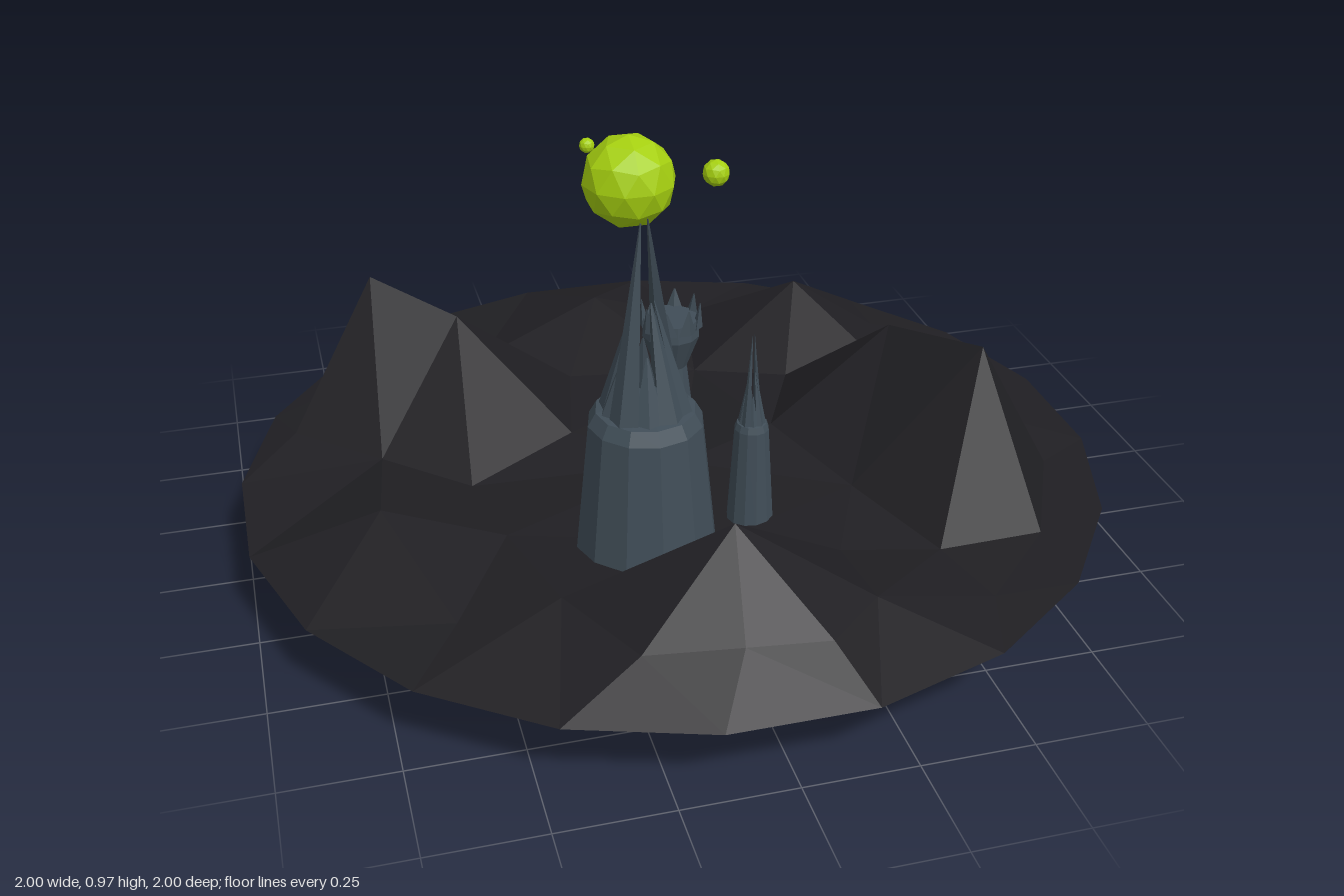
import * as THREE from 'three';
import { mergeGeometries } from 'three/addons/utils/BufferGeometryUtils.js';

const mat = (color) => new THREE.MeshStandardMaterial({ color, flatShading: true, side: THREE.DoubleSide });
const stone = mat(0x404d57), earth = mat(0x201f23), lime = mat(0xa5cf10);

function part(name, geometry, material) {
  const mesh = new THREE.Mesh(geometry, material);
  mesh.name = name;
  return mesh;
}

// Delaunay triangulation in plan (x, z) of a list of [x, y, z] points
function triangulate(points) {
  const n = points.length;
  const p = [...points, [-60, 0, -50], [60, 0, -50], [0, 0, 70]];
  const circle = (a, b, c) => {
    const [ax, , az] = p[a], bx = p[b][0] - ax, bz = p[b][2] - az, cx = p[c][0] - ax, cz = p[c][2] - az;
    const d = 2 * (bx * cz - bz * cx), b2 = bx * bx + bz * bz, c2 = cx * cx + cz * cz;
    const ux = (cz * b2 - bz * c2) / d, uz = (bx * c2 - cx * b2) / d;
    // corners ordered so that the face looks up
    return { v: d < 0 ? [a, b, c] : [a, c, b], x: ax + ux, z: az + uz, r2: ux * ux + uz * uz };
  };
  let tris = [circle(n, n + 1, n + 2)];
  for (let i = 0; i < n; i++) {
    const edges = new Map();
    tris = tris.filter((t) => {
      if ((p[i][0] - t.x) ** 2 + (p[i][2] - t.z) ** 2 > t.r2) return true;
      for (let k = 0; k < 3; k++) {
        const a = t.v[k], b = t.v[(k + 1) % 3];
        const key = Math.min(a, b) + '_' + Math.max(a, b);
        if (edges.has(key)) edges.delete(key);
        else edges.set(key, [a, b]);
      }
      return false;
    });
    for (const [a, b] of edges.values()) tris.push(circle(a, b, i));
  }
  return tris.map((t) => t.v).filter((v) => v.every((k) => k < n));
}

// Round island: a 20-sided rim around mountain peaks, feet and low ground
function makeTerrain() {
  const points = [
    // left rear mountain
    [-0.64, 0.52, -0.46], [-0.45, 0.45, -0.33], [-0.56, 0.18, -0.72], [-0.72, 0.19, -0.53],
    [-0.15, 0.18, -0.45], [-0.36, 0.19, -0.59], [-0.21, 0.19, -0.15], [-0.48, 0.17, 0],
    [-0.67, 0.18, -0.16], [-0.86, 0.19, -0.32],
    // right mountain
    [0.66, 0.52, 0.27], [0.54, 0.46, 0], [0.38, 0.2, -0.28], [0.65, 0.19, -0.28], [0.76, 0.19, -0.02],
    [0.86, 0.17, 0.24], [0.79, 0.17, 0.38], [0.72, 0.17, 0.52], [0.47, 0.18, 0.54],
    [0.36, 0.2, 0.27], [0.25, 0.23, 0],
    // rear hill
    [0.48, 0.34, -0.53], [0.24, 0.17, -0.75], [0.5, 0.18, -0.75], [0.71, 0.18, -0.53], [0.17, 0.18, -0.4],
    // front mountain
    [-0.06, 0.45, 0.72], [-0.39, 0.25, 0.6], [0, 0.18, 0.38], [0.25, 0.19, 0.5],
    [0.24, 0.24, 0.75], [0.1, 0.25, 0.88], [-0.08, 0.26, 0.87], [-0.28, 0.25, 0.83],
    // low mounds and plain
    [-0.71, 0.265, 0.2], [-0.02, 0.26, -0.73], [-0.45, 0.22, 0.3], [-0.6, 0.19, 0.55],
    [0.02, 0.17, 0.02], [0.52, 0.17, 0.72],
  ];
  for (let i = 0; i < 20; i++) {
    const a = (i + 0.5) * Math.PI / 10;
    points.push([1.0125 * Math.cos(a), 0.165, 1.0125 * Math.sin(a)]);
  }
  const geometry = new THREE.BufferGeometry();
  geometry.setAttribute('position', new THREE.Float32BufferAttribute(points.flat(), 3));
  geometry.setIndex(triangulate(points).flat());
  const flat = geometry.toNonIndexed();
  flat.computeVertexNormals();
  return part('terrain', flat, earth);
}

// Flat-sided spike leaning from a base ring to a tip
function spike(angle, baseR, baseY, tipR, tipY, width) {
  const h = tipY - baseY;
  const g = new THREE.CylinderGeometry(0.002, width, h, 4);
  const pos = g.attributes.position;
  for (let i = 0; i < pos.count; i++) {
    const t = pos.getY(i) / h + 0.5;
    pos.setX(i, pos.getX(i) * 0.5 + baseR + (tipR - baseR) * t);
    pos.setY(i, baseY + h * t);
  }
  g.computeVertexNormals();
  return g.rotateY(angle);
}

// Solid of revolution with n flat sides
function turned(profile, n) {
  return new THREE.LatheGeometry(profile.map(([r, y]) => new THREE.Vector2(r, y)), n);
}

// Round tower crowned with converging spikes, two of them tall
function makeSpiredTower(name) {
  const tower = new THREE.Group();
  tower.name = name;
  tower.add(part('body', turned([[0, 0], [0.177, 0], [0.125, 0.51], [0.108, 0.54], [0, 0.56]], 12), stone));
  const tips = [[0.014, 0.965], [0.045, 0.68], [0.02, 0.79], [0.02, 0.79], [0.045, 0.68]];
  const spikes = [];
  for (let i = 0; i < 10; i++) {
    spikes.push(spike((i / 5 - 0.75) * Math.PI, 0.092, 0.51, ...tips[i % 5], 0.038));
  }
  tower.add(part('spikes', mergeGeometries(spikes), stone));
  return tower;
}

// Slim tower with a flared, toothed top
function makeCrownTower() {
  const tower = new THREE.Group();
  tower.name = 'crownTower';
  tower.add(part('body', turned([[0, 0.06], [0.083, 0.06], [0.038, 0.43], [0.068, 0.51], [0.064, 0.55],
    [0, 0.55]], 12), stone));
  const teeth = [];
  for (let i = 0; i < 8; i++) {
    teeth.push(spike((i + 0.5) * Math.PI / 4, 0.062, 0.53, 0.068, 0.59, 0.024));
  }
  tower.add(part('teeth', mergeGeometries(teeth), stone));
  return tower;
}

export function createModel() {
  const model = new THREE.Group();
  model.name = 'floatingIsland';
  model.add(makeTerrain());

  const mainTower = makeSpiredTower('mainTower');
  mainTower.position.set(-0.155, 0, 0.375);
  const smallTower = makeSpiredTower('smallTower');
  smallTower.scale.set(0.31, 0.5, 0.31);
  smallTower.position.set(0.105, 0.155, 0.3);
  model.add(mainTower, smallTower, makeCrownTower());

  // Floating orbs, each with a corner pointing straight up
  const orbs = [
    ['largeOrb', 0.122, 0.025, 0.687, -0.505],
    ['mediumOrb', 0.036, 0.26, 0.675, -0.525],
    ['smallOrb', 0.019, -0.107, 0.84, -0.38],
  ];
  for (const [name, r, x, y, z] of orbs) {
    const orb = part(name, new THREE.IcosahedronGeometry(r, 1).rotateX(-1.017), lime);
    orb.position.set(x, y, z);
    model.add(orb);
  }
  return model;
}
